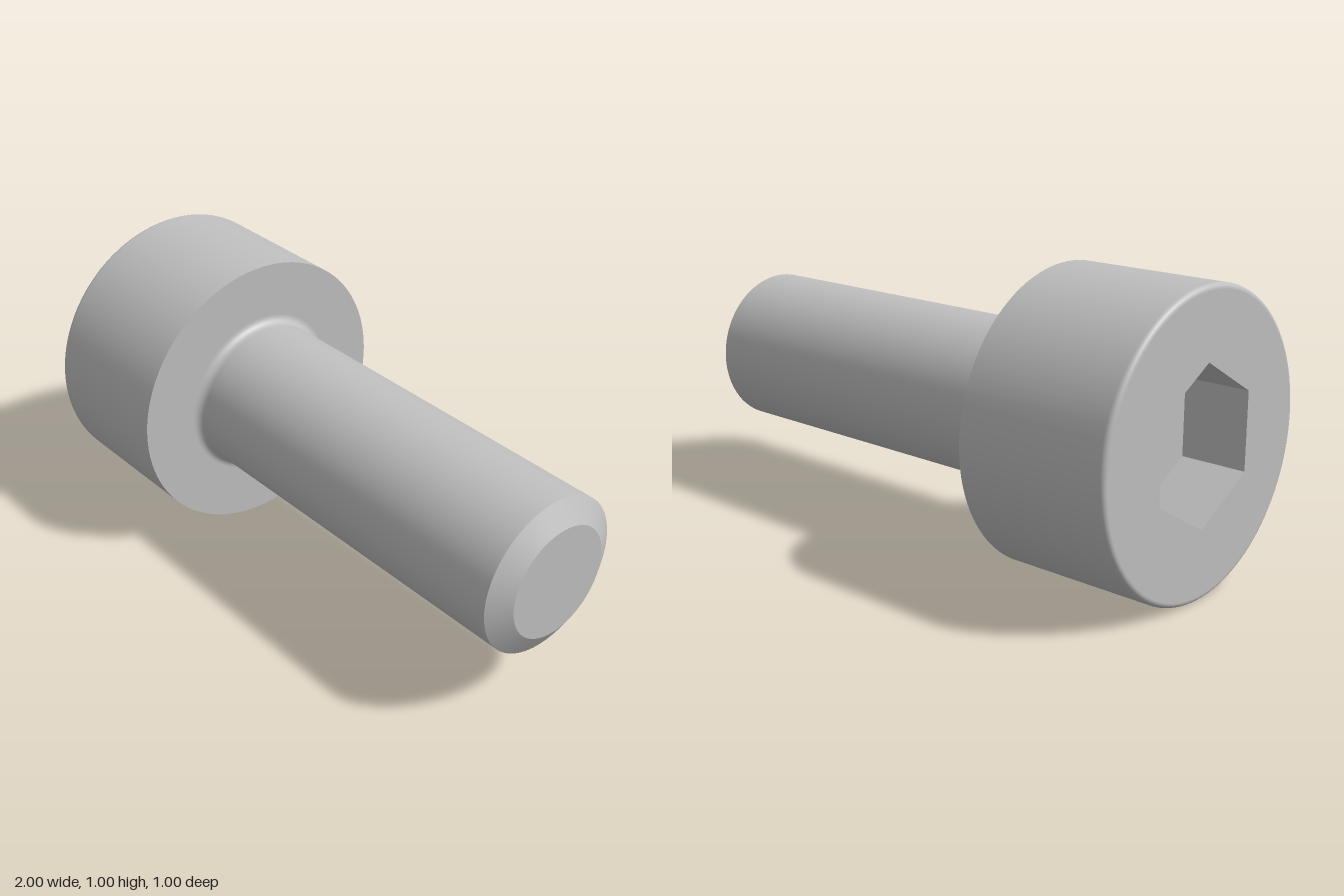
import * as THREE from 'three';
import { mergeGeometries } from 'three/addons/utils/BufferGeometryUtils.js';

const SEG = 96;
const HEAD_R = 0.5, SHANK_R = 0.2727, TIP_R = 0.195;
const FRONT = -1, SEAT = -0.4545, TIP = 1;
const ROUND = 0.018, FILLET = 0.03, CHAMFER = 0.0455;
const HEX_R = 0.264, SOCKET_DEPTH = 0.234;

// Points [radius, position along the axis] on a quarter arc
function arc(cr, cx, r, a0, a1, n = 8) {
  return Array.from({ length: n + 1 }, (_, i) => {
    const a = a0 + (a1 - a0) * i / n;
    return [cr + r * Math.cos(a), cx + r * Math.sin(a)];
  });
}

// Each section is turned separately, so the edges between them stay sharp
function turned(sections) {
  const parts = sections.map(pts =>
    new THREE.LatheGeometry(pts.map(p => new THREE.Vector2(...p)), SEG));
  return mergeGeometries(parts).rotateZ(-Math.PI / 2);
}

export function createModel() {
  const steel = new THREE.MeshStandardMaterial({ color: 0xbfbfbf });
  steel.name = 'steel grey';
  const screw = new THREE.Group();
  screw.name = 'socketHeadScrew';
  const add = (name, geometry) => {
    const mesh = new THREE.Mesh(geometry, steel);
    mesh.name = name;
    screw.add(mesh);
    return mesh;
  };

  // Head: rounded rim, side and bearing face
  add('head', turned([
    arc(HEAD_R - ROUND, FRONT + ROUND, ROUND, -Math.PI / 2, 0),
    [[HEAD_R, FRONT + ROUND], [HEAD_R, SEAT]],
    [[HEAD_R, SEAT], [SHANK_R + FILLET, SEAT]],
  ]));

  // Head end face with a hexagonal opening
  const face = new THREE.Shape().absarc(0, 0, HEAD_R - ROUND, 0, Math.PI * 2);
  const hex = Array.from({ length: 6 }, (_, i) => {
    const a = Math.PI / 2 - i * Math.PI / 3;
    return new THREE.Vector2(HEX_R * Math.cos(a), HEX_R * Math.sin(a));
  });
  face.holes.push(new THREE.Path(hex));
  add('headFace', new THREE.ShapeGeometry(face, SEG).rotateY(-Math.PI / 2)).position.x = FRONT;

  // Socket floor and six inward-facing walls
  const floor = FRONT + SOCKET_DEPTH;
  const socket = new THREE.LatheGeometry(
    [[0, floor], [HEX_R, floor], [HEX_R, FRONT]].map(p => new THREE.Vector2(...p)),
    6, Math.PI / 2).toNonIndexed();
  socket.computeVertexNormals();
  add('hexSocket', socket.rotateZ(-Math.PI / 2));

  // Shank: fillet under the head, plain cylinder, chamfer and flat tip
  add('shank', turned([
    arc(SHANK_R + FILLET, SEAT + FILLET, FILLET, -Math.PI / 2, -Math.PI),
    [[SHANK_R, SEAT + FILLET], [SHANK_R, TIP - CHAMFER]],
    [[SHANK_R, TIP - CHAMFER], [TIP_R, TIP]],
    [[TIP_R, TIP], [0, TIP]],
  ]));

  screw.position.y = HEAD_R;
  const model = new THREE.Group();
  model.name = 'screw';
  model.add(screw);
  return model;
}
